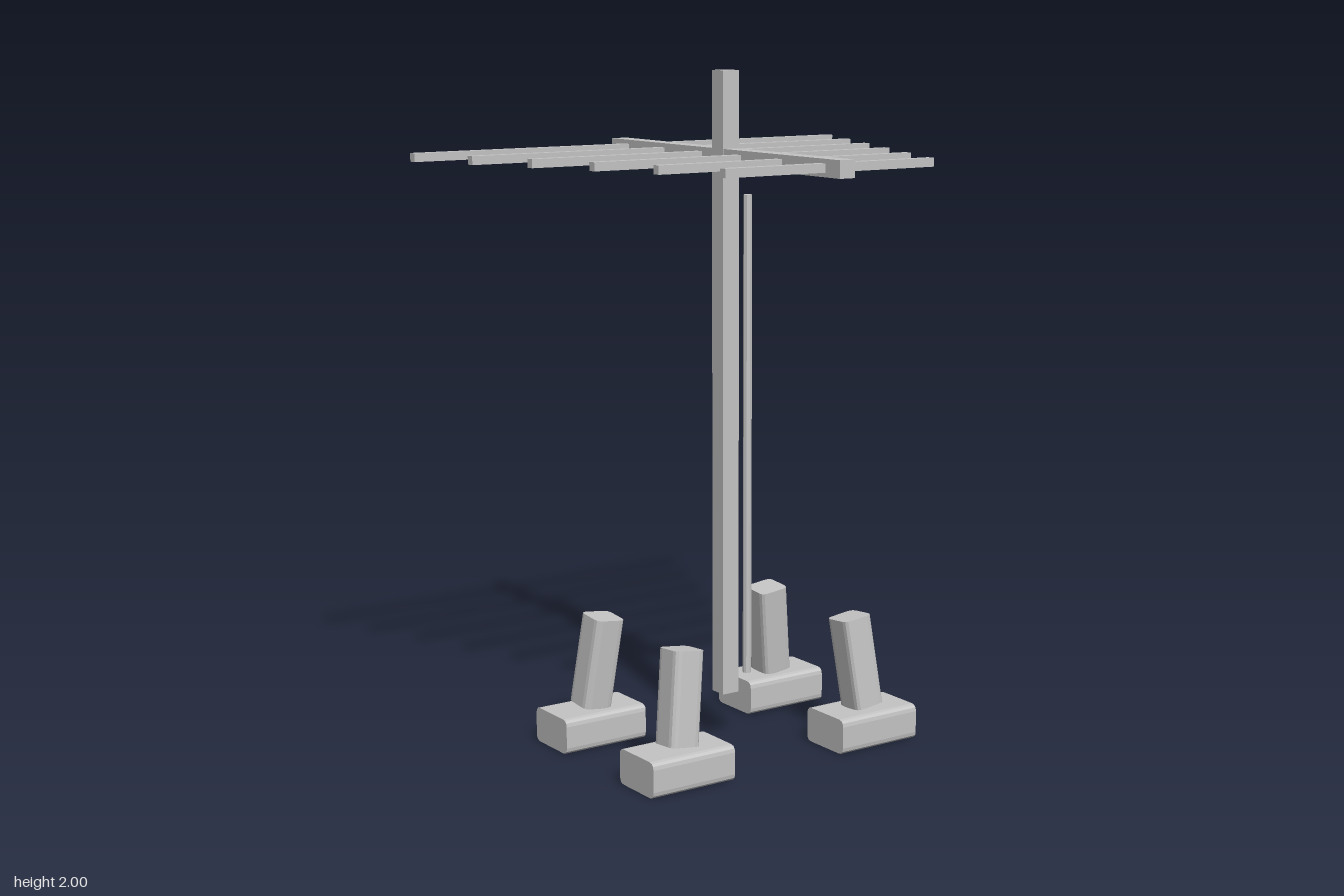
import * as THREE from 'three';

const grey = new THREE.MeshStandardMaterial({ color: 0xc4c4c4, flatShading: true });
grey.name = 'concrete grey';

// Prism with rounded long edges, centred, running along z
function roundedPrism(w, h, length, r) {
  const s = new THREE.Shape();
  const x = w / 2, y = h / 2;
  s.moveTo(-x + r, -y);
  s.lineTo(x - r, -y);
  s.quadraticCurveTo(x, -y, x, -y + r);
  s.lineTo(x, y - r);
  s.quadraticCurveTo(x, y, x - r, y);
  s.lineTo(-x + r, y);
  s.quadraticCurveTo(-x, y, -x, y - r);
  s.lineTo(-x, -y + r);
  s.quadraticCurveTo(-x, -y, -x + r, -y);
  const g = new THREE.ExtrudeGeometry(s, { depth: length, bevelEnabled: false, curveSegments: 3 });
  return g.translate(0, 0, -length / 2);
}

export function createModel() {
  const model = new THREE.Group();
  model.name = 'antenna';

  function add(name, geometry, x, y, z) {
    const mesh = new THREE.Mesh(geometry, grey);
    mesh.name = name;
    mesh.position.set(x, y, z);
    model.add(mesh);
    return mesh;
  }

  // Mast and the boom that crosses it
  add('mast', new THREE.BoxGeometry(0.056, 1.85, 0.056), 0, 1.075, 0);
  add('boom', new THREE.BoxGeometry(0.052, 0.05, 1.144), 0, 1.752, 0);

  // Cross rods, shorter towards the front
  for (let i = 0; i < 6; i++) {
    const length = 1.51 - i * 0.16;
    add('crossRod', new THREE.BoxGeometry(length, 0.025, 0.026), 0, 1.752, -0.49 + i * 0.197);
  }

  // Cable beside the mast
  add('cable', new THREE.CylinderGeometry(0.013, 0.013, 1.43, 8), 0.042, 0.93, 0.052);

  // Four footings, each with a post leaning inwards
  const footing = roundedPrism(0.175, 0.105, 0.278, 0.02).rotateY(Math.PI / 2);
  const post = roundedPrism(0.098, 0.098, 0.275, 0.02).rotateX(Math.PI / 2);
  for (const sx of [-1, 1]) {
    for (const sz of [-1, 1]) {
      add('footing', footing, sx * 0.334, 0.0525, sz > 0 ? 0.239 : -0.229);
      const leg = add('post', post, sx * 0.318, 0.247, sz > 0 ? 0.226 : -0.219);
      leg.rotation.set(-sz * 0.085, 0, sx * 0.12);
    }
  }
  return model;
}
